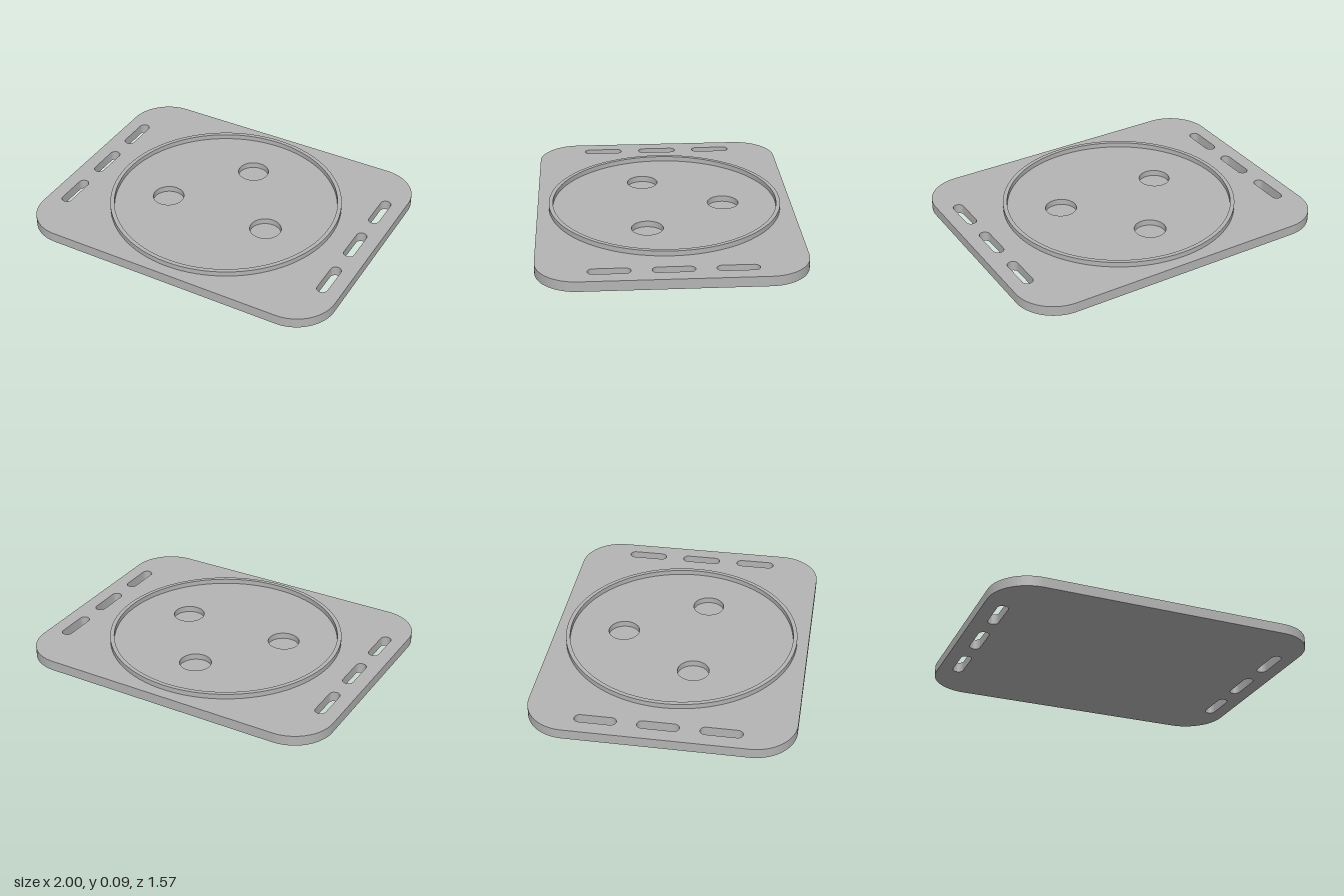
import * as THREE from 'three';
import { toCreasedNormals } from 'three/addons/utils/BufferGeometryUtils.js';

const HALF_X = 1, HALF_Z = 0.787, CORNER = 0.25;
const TOP = 0.062, RIM_TOP = 0.093, POCKET_FLOOR = 0.025;
const POCKET_R = 0.096;
const SEGMENTS = 24;

// Shapes are drawn in x and -z, then laid flat with y up.
function roundedRect(hx, hz, r) {
  const s = new THREE.Shape();
  s.absarc(hx - r, hz - r, r, 0, Math.PI / 2);
  s.absarc(r - hx, hz - r, r, Math.PI / 2, Math.PI);
  s.absarc(r - hx, r - hz, r, Math.PI, Math.PI * 1.5);
  s.absarc(hx - r, r - hz, r, Math.PI * 1.5, Math.PI * 2);
  s.closePath();
  return s;
}

// Clockwise loops, so their walls face into the opening
function slotPath(x, y) {
  const r = 0.0325, half = 0.123 - r;
  const p = new THREE.Path();
  p.absarc(x, y + half, r, Math.PI, 0, true);
  p.absarc(x, y - half, r, 0, -Math.PI, true);
  p.closePath();
  return p;
}

function circlePath(x, y, r) {
  return new THREE.Path().absarc(x, y, r, 0, Math.PI * 2, true);
}

// Upright wall along a closed loop
function wall(path, y0, y1) {
  const pts = path.getPoints(SEGMENTS);
  const v = [];
  pts.forEach((p, i) => {
    const q = pts[(i + 1) % pts.length];
    if (p.distanceTo(q) < 1e-5) return;
    v.push(p.x, y0, -p.y, q.x, y0, -q.y, q.x, y1, -q.y);
    v.push(p.x, y0, -p.y, q.x, y1, -q.y, p.x, y1, -p.y);
  });
  const g = new THREE.BufferGeometry();
  g.setAttribute('position', new THREE.Float32BufferAttribute(v, 3));
  return toCreasedNormals(g, 0.6);
}

// Flat face facing up or down
function cap(outline, holes, y, up) {
  const s = outline.clone();
  s.holes = up ? holes : holes.map((h) => h.clone());
  const g = new THREE.ShapeGeometry(s, SEGMENTS);
  if (!up) {
    const idx = g.index.array;
    for (let i = 0; i < idx.length; i += 3) [idx[i], idx[i + 1]] = [idx[i + 1], idx[i]];
    g.computeVertexNormals();
  }
  return g.rotateX(-Math.PI / 2).translate(0, y, 0);
}

export function createModel() {
  const model = new THREE.Group();
  const grey = new THREE.MeshStandardMaterial({ color: 0xb4b4b4 });
  grey.name = 'grey';
  const add = (name, geometry, parent = model) => {
    const mesh = new THREE.Mesh(geometry, grey);
    mesh.name = name;
    parent.add(mesh);
    return mesh;
  };

  const outline = roundedRect(HALF_X, HALF_Z, CORNER);
  const slots = [];
  for (const x of [-0.882, 0.882]) {
    for (const y of [-0.364, 0, 0.364]) slots.push(slotPath(x, y));
  }
  const centres = [[0, 0.364], [-0.342, -0.123], [0.342, -0.123]];
  const pockets = centres.map(([x, y]) => circlePath(x, y, POCKET_R));

  // Base plate with through slots
  const plate = new THREE.Group();
  plate.name = 'basePlate';
  model.add(plate);
  add('plateTop', cap(outline, [...slots, ...pockets], TOP, true), plate);
  add('plateBottom', cap(outline, slots, 0, false), plate);
  add('plateEdge', wall(outline, 0, TOP), plate);
  for (const slot of slots) add('strapSlot', wall(slot, 0, TOP), plate);

  // Three blind round pockets
  pockets.forEach((path, i) => {
    const pocket = new THREE.Group();
    pocket.name = 'pocket';
    model.add(pocket);
    add('pocketWall', wall(path, POCKET_FLOOR, TOP), pocket);
    const [x, y] = centres[i];
    const floor = new THREE.CircleGeometry(POCKET_R, SEGMENTS * 2);
    add('pocketFloor', floor.rotateX(-Math.PI / 2).translate(x, POCKET_FLOOR, -y), pocket);
  });

  // Raised ring around the centre
  const profile = [[0.717, TOP], [0.717, RIM_TOP], [0.692, RIM_TOP], [0.692, TOP]]
    .map(([r, y]) => new THREE.Vector2(r, y));
  add('raisedRim', toCreasedNormals(new THREE.LatheGeometry(profile, 96), 0.6));

  return model;
}
